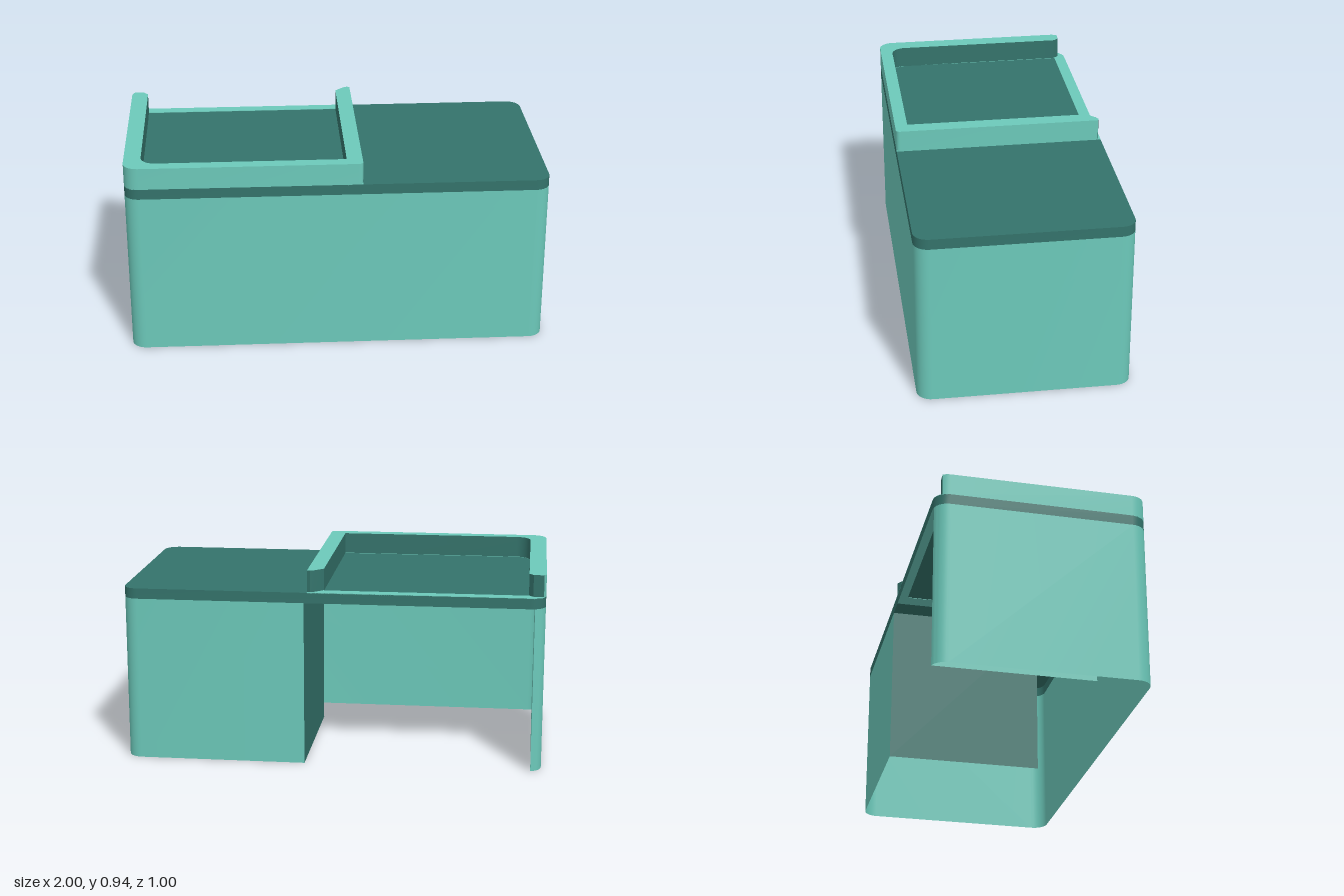
import * as THREE from 'three';
import { toCreasedNormals } from 'three/addons/utils/BufferGeometryUtils.js';

const light = new THREE.MeshStandardMaterial({ name: 'light teal', color: 0x6cc9ba, side: THREE.DoubleSide });
const dark = new THREE.MeshStandardMaterial({ name: 'dark teal', color: 0x34736b, side: THREE.DoubleSide });

const BODY_TOP = 0.79, DESK_TOP = 0.84, RIM_TOP = 0.945;
const R = 0.07;

// Plan points are [x, -z]; arcs take degrees.
function arc(cx, cy, r, from, to, n = 8) {
  return Array.from({ length: n + 1 }, (_, i) => {
    const a = THREE.MathUtils.degToRad(from + ((to - from) * i) / n);
    return [cx + r * Math.cos(a), cy + r * Math.sin(a)];
  });
}

const toShape = (pts) => new THREE.Shape(pts.map(([x, y]) => new THREE.Vector2(x, y)));

// Upright sheet that follows a plan path.
function sheet(pts, y0, y1) {
  const n = pts.length;
  const geo = new THREE.PlaneGeometry(1, 1, n - 1, 1);
  pts.forEach(([x, y], i) => {
    geo.attributes.position.setXYZ(i, x, y1, -y);
    geo.attributes.position.setXYZ(n + i, x, y0, -y);
  });
  return toCreasedNormals(geo, 0.5);
}

// Flat face at a given height.
function flat(pts, y) {
  return new THREE.ShapeGeometry(toShape(pts)).rotateX(-Math.PI / 2).translate(0, y, 0);
}

export function createModel() {
  const group = new THREE.Group();
  const add = (name, geo, mat) => {
    const mesh = new THREE.Mesh(geo, mat);
    mesh.name = name;
    group.add(mesh);
  };

  // Shared rounded corners of the desk outline
  const backLeft = arc(-0.93, 0.43, R, 90, 180);
  const frontLeft = arc(-0.93, -0.43, R, 180, 270);
  const frontRight = arc(0.93, -0.43, R, 270, 360);
  const backRight = arc(0.93, 0.43, R, 0, 90);

  // Outer body wall, open at the back for the knee space
  const bodyPath = [...arc(-0.93, 0.43, R, 106.6, 180), ...frontLeft, ...frontRight, ...backRight, [0.13, 0.5]];
  add('bodyWall', sheet(bodyPath, 0, BODY_TOP), light);

  // Panels either side of the knee space
  add('sidePanel', sheet([[-0.95, -0.25], [-0.95, 0.497]], 0, BODY_TOP), light);
  add('divider', sheet([[0.13, 0.5], [0.13, -0.25]], 0, BODY_TOP), dark);

  // Desk top with its edge band
  const outline = [...frontLeft, ...frontRight, ...backRight, ...backLeft];
  add('deskEdge', sheet([...outline, outline[0]], BODY_TOP, DESK_TOP), dark);
  add('deskTop', flat(outline, DESK_TOP), dark);

  // Flat border under the raised rim, set into the desk top
  const border = toShape([...backLeft, ...frontLeft, [0.115, -0.5], [0.115, 0.5]]);
  const innerCorner = arc(-0.85, -0.37, R, 270, 180);
  border.holes.push(new THREE.Path(
    [[0.04, 0.445], [0.04, -0.44], ...innerCorner, [-0.92, 0.445]].map(([x, y]) => new THREE.Vector2(x, y))
  ));
  const borderGeo = new THREE.ExtrudeGeometry(border, { depth: 0.004, bevelEnabled: false });
  add('rimBorder', borderGeo.rotateX(-Math.PI / 2).translate(0, DESK_TOP - 0.002, 0), light);

  // Raised three-sided rim: light outside and top, dark inside and ends
  const rimOuter = [
    ...arc(-0.93, 0.43, R, 148, 180, 4), ...frontLeft,
    ...arc(0.095, -0.48, 0.02, 270, 360, 5), [0.115, 0.485],
  ];
  const rimInner = [
    [0.115, 0.485], [0.1, 0.49], [0.08, 0.48], [0.04, 0.44], [0.04, -0.44],
    ...innerCorner, [-0.92, 0.44], [-0.94, 0.465], rimOuter[0],
  ];
  add('rimOutside', sheet(rimOuter, DESK_TOP, RIM_TOP), light);
  add('rimInside', sheet(rimInner, DESK_TOP, RIM_TOP), dark);
  add('rimTop', flat([...rimOuter, ...rimInner.slice(1, -1)], RIM_TOP), light);

  return group;
}
